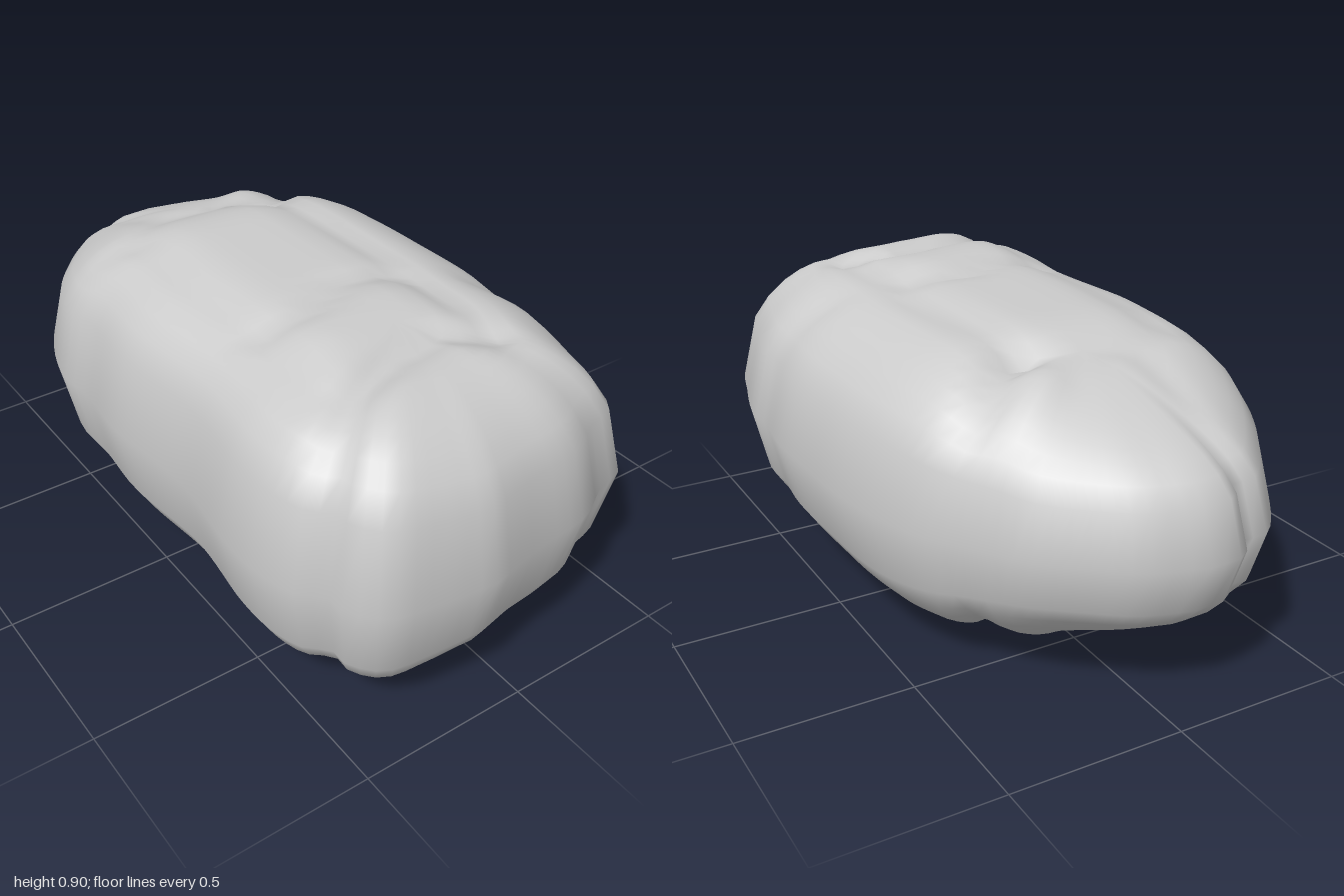
import * as THREE from 'three';
import { mergeVertices } from 'three/addons/utils/BufferGeometryUtils.js';

const MID = 0.447; // height of the widest line; the stone mirrors above and below it

// Plan outline [x, z] of each flank, from the back tip to the front tip
const LEFT = [[-0.06, -1], [0.09, -0.95], [0.2, -0.87], [0.32, -0.76], [0.37, -0.68], [0.46, -0.55],
  [0.49, -0.5], [0.54, -0.35], [0.57, -0.18], [0.58, 0], [0.585, 0.2], [0.565, 0.38], [0.57, 0.46],
  [0.52, 0.66], [0.45, 0.85], [0.35, 0.88], [0.24, 0.94], [0.05, 0.965], [-0.12, 1]];
const RIGHT = [[-0.06, -1], [-0.18, -0.985], [-0.21, -0.92], [-0.28, -0.93], [-0.43, -0.77], [-0.53, -0.6],
  [-0.58, -0.43], [-0.57, -0.3], [-0.585, -0.1], [-0.555, 0.22], [-0.585, 0.5], [-0.58, 0.64],
  [-0.54, 0.76], [-0.49, 0.8], [-0.49, 0.85], [-0.42, 0.945], [-0.28, 0.98], [-0.12, 1]];

// How far each row lies from the rim (0) towards the central spine (1)
const INSET = [0, 0.08, 0.16, 0.24, 0.32, 0.4, 0.48, 0.56, 0.64, 0.72, 0.8, 0.9, 1];

// Surface relief: width, height (negative = groove), then points x, z of a path
const RELIEF = [
  // grooves beside the flat top plate
  [0.05, -0.025, 0.15, -0.4, 0.19, 0.1, 0.17, 0.25, 0.2, 0.6],
  [0.06, -0.02, -0.32, -0.35, -0.34, 0, -0.33, 0.25, -0.37, 0.55],
  // fold curling around the front bump, and the bump
  [0.04, -0.02, -0.33, 0.26, -0.2, 0.27, -0.02, 0.2, 0.12, 0.22],
  [0.1, 0.018, -0.22, 0.4, 0.03, 0.33],
  // valley behind the front lobe
  [0.055, -0.035, -0.46, 0.74, -0.3, 0.63, -0.15, 0.58, 0.05, 0.54, 0.16, 0.6],
  // pit and ridge at the back corner, valley ahead of the back lobe
  [0.045, -0.045, 0.12, -0.41, 0.22, -0.45, 0.36, -0.55],
  [0.05, 0.02, 0.14, -0.55, 0.36, -0.66],
  [0.05, -0.015, -0.5, -0.42, -0.34, -0.4, -0.2, -0.48, 0.08, -0.45],
  [0.05, -0.012, -0.18, -0.55, -0.2, -0.9],
  // notch on the left flank
  [0.045, -0.025, 0.38, 0.31, 0.56, 0.36],
];

function distanceToSegment(x, z, x1, z1, x2, z2) {
  const dx = x2 - x1, dz = z2 - z1;
  const t = THREE.MathUtils.clamp(((x - x1) * dx + (z - z1) * dz) / (dx * dx + dz * dz), 0, 1);
  return Math.hypot(x - x1 - t * dx, z - z1 - t * dz);
}

function relief(x, z) {
  let sum = 0;
  for (const [width, height, ...path] of RELIEF) {
    let d = Infinity;
    for (let i = 0; i + 3 < path.length; i += 2) {
      d = Math.min(d, distanceToSegment(x, z, ...path.slice(i, i + 4)));
    }
    sum += height * Math.exp(-((d / width) ** 2));
  }
  return sum;
}

function flank(points, count) {
  const curve = new THREE.CatmullRomCurve3(points.map(([x, z]) => new THREE.Vector3(x, 0, z)), false, 'centripetal');
  return curve.getSpacedPoints(count);
}

function stoneGeometry() {
  const along = 56;
  const left = flank(LEFT, along), right = flank(RIGHT, along);
  // A central spine shared by both flanks
  const spine = left.map((p, i) => THREE.MathUtils.clamp((p.z + right[i].z) / 2, -0.45, 0.45));
  const ring = [];
  for (let i = 0; i <= along; i++) ring.push([left[i], spine[i]]);
  for (let i = along - 1; i > 0; i--) ring.push([right[i], spine[i]]);

  // Rows run from the lower spine out to the rim and back in to the upper spine
  const positions = [], indices = [];
  const half = INSET.length - 1, rows = half * 2 + 1;
  for (const [rim, spineZ] of ring) {
    // The right flank is squarer than the left
    const fullness = 2.9 + 0.9 * THREE.MathUtils.smoothstep(-rim.x, 0.1, 0.5);
    for (let k = 0; k < rows; k++) {
      const u = INSET[Math.abs(k - half)];
      const x = THREE.MathUtils.lerp(rim.x, -0.03, u);
      const z = THREE.MathUtils.lerp(rim.z, spineZ, u);
      const dome = Math.sqrt(1 - (1 - u) ** fullness);
      const taper = 1 - 0.3 * THREE.MathUtils.smoothstep(-z, 0.25, 0.85);
      const h = dome * (0.433 * taper + relief(x, z) * dome * dome);
      positions.push(x, MID + Math.sign(k - half) * h, z);
    }
  }
  for (let i = 0; i < ring.length; i++) {
    const a = i * rows, b = ((i + 1) % ring.length) * rows;
    for (let k = 0; k < rows - 1; k++) {
      indices.push(a + k, a + k + 1, b + k, b + k, a + k + 1, b + k + 1);
    }
  }
  const geometry = new THREE.BufferGeometry();
  geometry.setAttribute('position', new THREE.Float32BufferAttribute(positions, 3));
  geometry.setIndex(indices);
  const welded = mergeVertices(geometry, 1e-4);
  welded.computeVertexNormals();
  return welded;
}

export function createModel() {
  const group = new THREE.Group();
  group.name = 'rock';
  const stone = new THREE.Mesh(stoneGeometry(), new THREE.MeshStandardMaterial({ color: 0xcccccc }));
  stone.name = 'stone';
  group.add(stone);
  return group;
}
